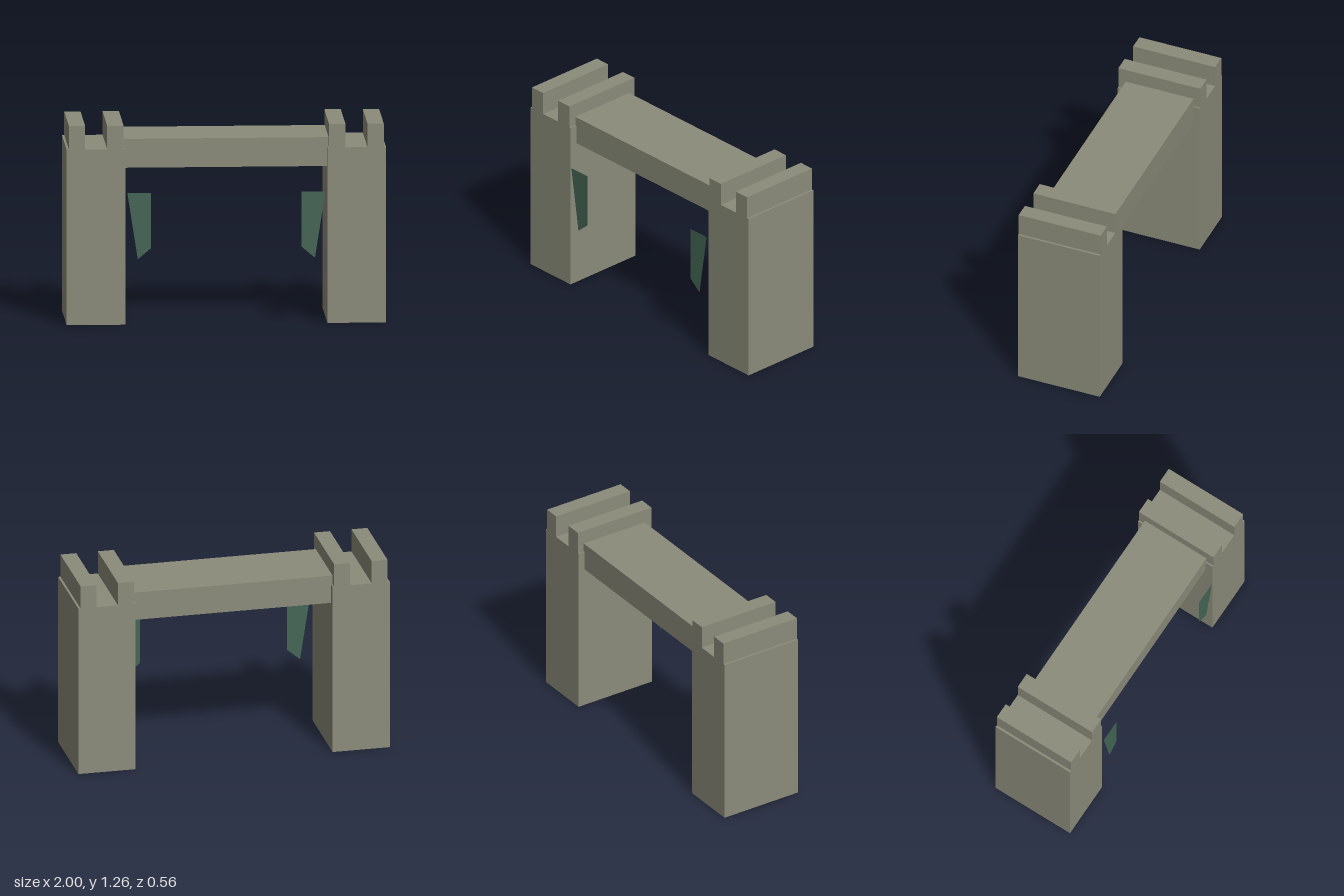
import * as THREE from 'three';

const stone = new THREE.MeshStandardMaterial({ color: 0x8b8c7a });
const cloth = new THREE.MeshStandardMaterial({ color: 0x446655, side: THREE.DoubleSide });

// Box given by its minimum and maximum corners
function block(name, [x0, y0, z0], [x1, y1, z1]) {
  const mesh = new THREE.Mesh(new THREE.BoxGeometry(x1 - x0, y1 - y0, z1 - z0), stone);
  mesh.position.set((x0 + x1) / 2, (y0 + y1) / 2, (z0 + z1) / 2);
  mesh.name = name;
  return mesh;
}

// Flat hanging banner, slanted on the side next to the tower
function banner(name, side) {
  const points = [[0.62, 0.835], [0.472, 0.835], [0.472, 0.485], [0.555, 0.415]];
  const shape = new THREE.Shape(points.map(([x, y]) => new THREE.Vector2(side * x, y)));
  const mesh = new THREE.Mesh(new THREE.ShapeGeometry(shape), cloth);
  mesh.position.z = 0.28;
  mesh.name = name;
  return mesh;
}

export function createModel() {
  const gate = new THREE.Group();
  gate.name = 'gate';
  const back = -0.28, front = 0.275;

  for (const side of [-1, 1]) {
    const prefix = side > 0 ? 'left' : 'right';
    const span = (a, b) => (side > 0 ? [a, b] : [-b, -a]);
    const tower = new THREE.Group();
    tower.name = prefix + 'Tower';

    // Tower body
    const [x0, x1] = span(0.633, 1);
    tower.add(block(prefix + 'TowerBody', [x0, 0, back], [x1, 1.113, front]));

    // Two parapet ridges running front to back
    for (const [name, a, b] of [['InnerRidge', 0.643, 0.746], ['OuterRidge', 0.884, 0.986]]) {
      const [r0, r1] = span(a, b);
      tower.add(block(prefix + name, [r0, 1.113, back], [r1, 1.262, front]));
    }
    gate.add(tower, banner(prefix + 'Banner', side));
  }

  // Walkway bridging the towers
  gate.add(block('walkway', [-0.65, 0.987, -0.235], [0.65, 1.17, 0.225]));
  return gate;
}
